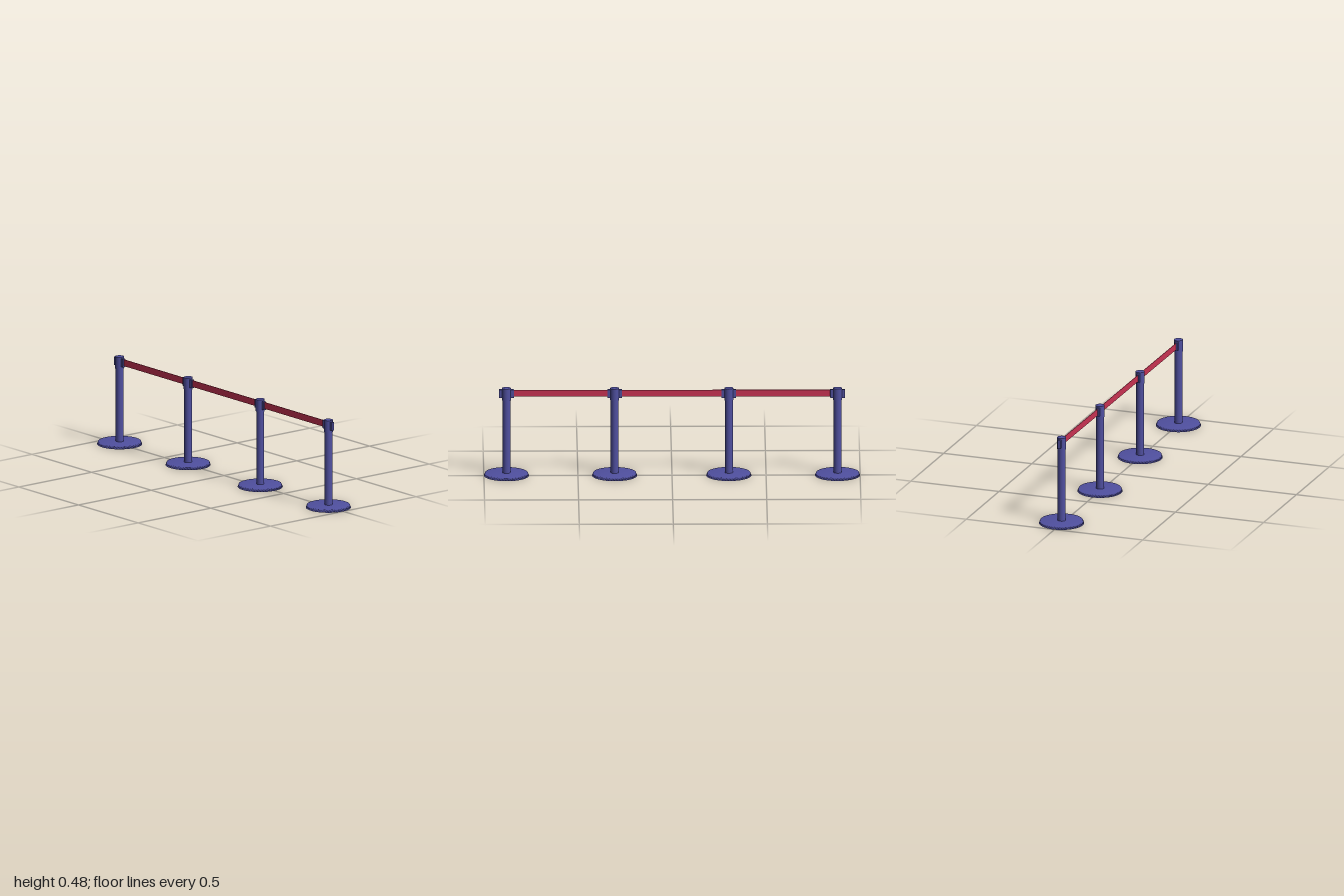
import * as THREE from 'three';

export function createModel() {
  const model = new THREE.Group();
  model.name = 'queueBarrier';
  const navy = new THREE.MeshStandardMaterial({ color: 0x5050a0 });
  navy.name = 'navy';
  const red = new THREE.MeshStandardMaterial({ color: 0xcc3354 });
  red.name = 'red';

  const add = (parent, name, geometry, material, x = 0, y = 0, z = 0) => {
    const mesh = new THREE.Mesh(geometry, material);
    mesh.name = name;
    mesh.position.set(x, y, z);
    parent.add(mesh);
    return mesh;
  };

  // Shared shapes: softly shaded base disc, pole, head and belt clip
  const baseGeo = new THREE.LatheGeometry(
    [[0, 0.001], [0.12, 0], [0.114, 0.015], [0, 0.016]].map(([r, y]) => new THREE.Vector2(r, y)), 48);
  const poleGeo = new THREE.CylinderGeometry(0.021, 0.021, 0.42, 32);
  const headGeo = new THREE.CylinderGeometry(0.024, 0.024, 0.065, 32);
  const clipGeo = new THREE.BoxGeometry(0.016, 0.045, 0.022);

  // The row of posts, front to back, drifting very slightly sideways
  const spots = [[-0.004, 0.88], [-0.001, 0.305], [0.001, -0.302], [0.004, -0.88]];
  spots.forEach(([x, z]) => {
    const post = new THREE.Group();
    post.name = 'post';
    post.position.set(x, 0, z);
    add(post, 'base', baseGeo, navy);
    add(post, 'pole', poleGeo, navy, 0, 0.21, 0);
    add(post, 'head', headGeo, navy, 0, 0.4475, 0);
    for (const side of [1, -1]) add(post, 'beltClip', clipGeo, navy, 0, 0.45, side * 0.028);
    model.add(post);
  });

  // Belts stretched between neighbouring posts
  for (let i = 0; i < spots.length - 1; i++) {
    const [x0, z0] = spots[i], [x1, z1] = spots[i + 1];
    const length = Math.hypot(x1 - x0, z1 - z0) - 0.07;
    const belt = add(model, 'belt', new THREE.BoxGeometry(0.003, 0.036, length), red,
      (x0 + x1) / 2, 0.452, (z0 + z1) / 2);
    belt.rotation.y = Math.atan2(x1 - x0, z1 - z0);
  }
  return model;
}
